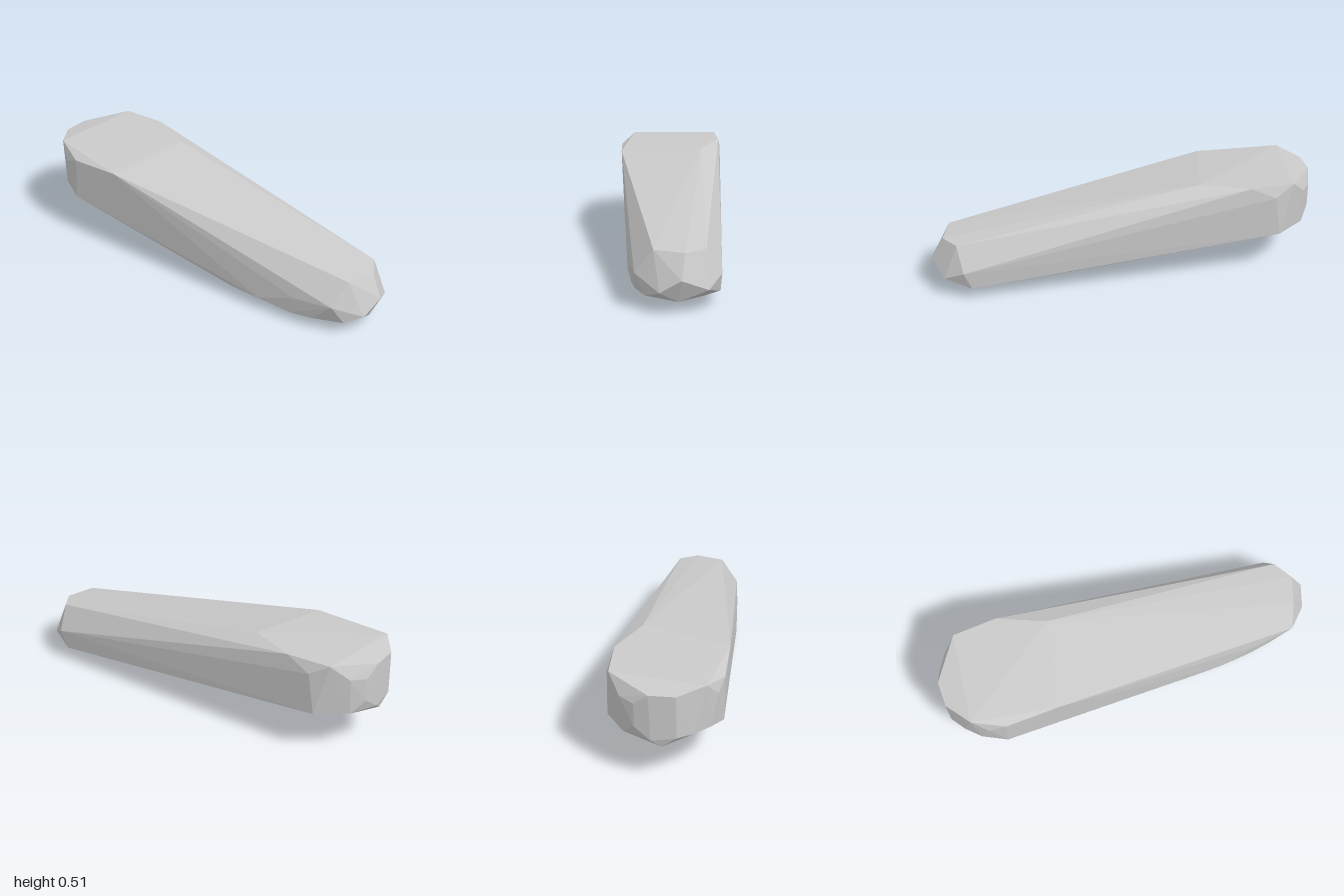
import * as THREE from 'three';
import { ConvexGeometry } from 'three/addons/geometries/ConvexGeometry.js';

// Corner points of the faceted stone, grouped by region
const topRim = [
  [0.89, 0.29, 0.115], [0.94, 0.287, -0.03], [0.88, 0.29, -0.13],
  [-0.38, 0.51, -0.16], [-0.62, 0.51, -0.265], [-0.85, 0.508, -0.255],
  [-1, 0.48, -0.05], [-1, 0.48, 0.08], [-0.91, 0.498, 0.21],
  [-0.48, 0.475, 0.28],
];
const narrowEnd = [
  [1, 0.172, -0.012], [0.975, 0.107, 0.09], [0.95, 0.113, -0.14],
  [0.95, 0.057, 0], [0.86, 0.172, 0.205], [0.9, 0.073, 0.155],
  [0.74, 0.06, 0.203], [0.86, 0.165, -0.205], [0.82, 0.07, -0.2],
];
const wideEnd = [
  [-0.75, 0.46, 0.28], [-0.84, 0.42, 0.257], [-0.75, 0.45, -0.281],
  [-0.93, 0.43, -0.195], [-0.98, 0.42, -0.12], [-0.78, 0.235, -0.278],
  [-0.93, 0.24, -0.18], [-0.98, 0.3, -0.12], [-1, 0.24, -0.04],
  [-0.99, 0.205, 0.01], [-1, 0.26, 0.08], [-0.95, 0.26, 0.155],
  [-0.88, 0.26, 0.225], [-0.76, 0.23, 0.278],
];
const underside = [
  [0.29, 0, 0.085], [0.29, 0.003, -0.04], [0.5, 0.002, 0.05],
  [0.7, 0.016, 0], [0.78, 0.035, -0.135], [0.27, 0.07, 0.24],
  [0.44, 0.07, 0.24], [0.62, 0.05, 0.22], [0.65, 0.15, 0.226],
];

export function createModel() {
  const model = new THREE.Group();
  model.name = 'stone';
  const stoneGrey = new THREE.MeshStandardMaterial({ color: 0xcacaca });
  stoneGrey.name = 'stoneGrey';
  stoneGrey.flatShading = true;

  // Single long, tapering rock
  const points = [...topRim, ...narrowEnd, ...wideEnd, ...underside]
    .map((p) => new THREE.Vector3(...p));
  const rock = new THREE.Mesh(new ConvexGeometry(points), stoneGrey);
  rock.name = 'rock';
  model.add(rock);
  return model;
}
